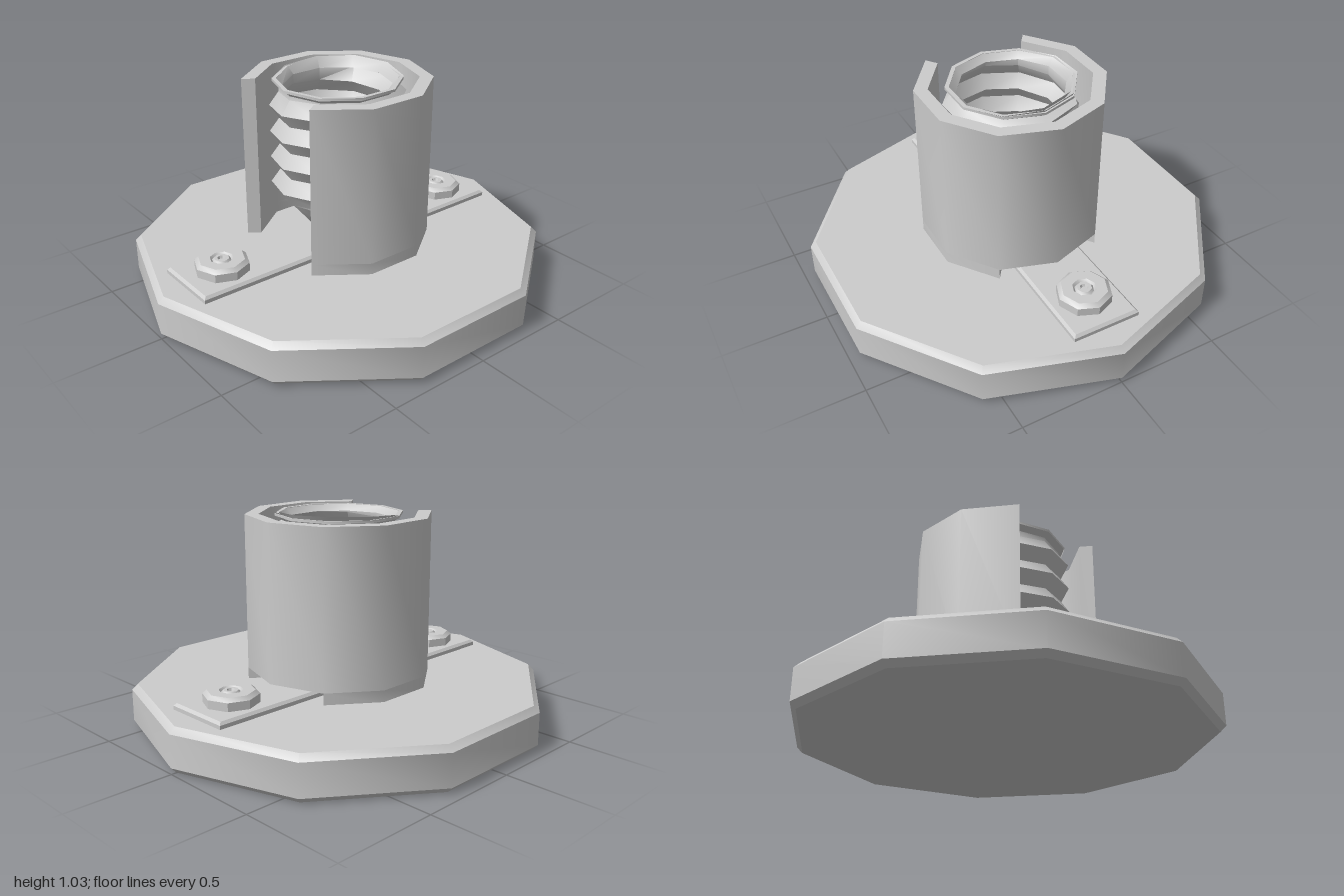
import * as THREE from 'three';
import { toCreasedNormals } from 'three/addons/utils/BufferGeometryUtils.js';

const CREASE = 0.7;
const grey = new THREE.MeshStandardMaterial({ color: 0xcccccc });
const greyDouble = new THREE.MeshStandardMaterial({ color: 0xcccccc, side: THREE.DoubleSide });

function part(name, geometry, material = grey) {
  const mesh = new THREE.Mesh(toCreasedNormals(geometry, CREASE), material);
  mesh.name = name;
  return mesh;
}

// Faceted turned part whose first corner lies on +x
function turned(profile, sides) {
  const points = profile.map(([r, y]) => new THREE.Vector2(r, y));
  return new THREE.LatheGeometry(points, sides, Math.PI / 2);
}

// Upright extrusion of a decagonal ring sector, from corner a to corner b
function ringWall(a, b, y0, y1) {
  const points = [];
  const add = (r, i) => points.push(new THREE.Vector2(
    r * Math.cos(i * Math.PI / 5), r * Math.sin(i * Math.PI / 5)));
  for (let i = a; i <= b; i++) add(0.445, i);
  for (let i = b; i >= a; i--) add(0.38, i);
  const g = new THREE.ExtrudeGeometry(new THREE.Shape(points), { depth: y1 - y0, bevelEnabled: false });
  return g.rotateX(-Math.PI / 2).translate(0, y0, 0);
}

// Screw shell: rows of [radius, height], thread rows climbing with the angle
function screwShell(inset, sides = 10) {
  const pitch = 0.13, low = 0.44, high = 0.98;
  const rows = [() => [0.065, 0.27 + inset], () => [0.16, 0.31 + inset], () => [0.27 - inset, low]];
  for (let k = -2; k <= 9; k++) {
    const r = (k % 2 === 0 ? 0.32 : 0.275) - inset;
    rows.push(t => {
      const y = low + pitch * (k / 2 + t);
      return [y < low || y > high ? 0.275 - inset : r, THREE.MathUtils.clamp(y, low, high)];
    });
  }
  // slightly uneven rim where the thread runs out
  rows.push(t => [0.305 - inset, 1.01 + 0.018 * Math.max(0, Math.cos((t - 0.1) * 2 * Math.PI))]);

  const pos = [], index = [];
  rows.forEach((row, j) => {
    for (let i = 0; i <= sides; i++) {
      const t = i / sides, [r, y] = row(t), a = t * 2 * Math.PI;
      pos.push(r * Math.cos(a), y, -r * Math.sin(a));
      if (j > 0 && i < sides) {
        const p = (j - 1) * (sides + 1) + i, q = p + sides + 1;
        index.push(p, p + 1, q, p + 1, q + 1, q);
      }
    }
  });
  const g = new THREE.BufferGeometry();
  g.setAttribute('position', new THREE.Float32BufferAttribute(pos, 3));
  g.setIndex(index);
  return g;
}

export function createModel() {
  const model = new THREE.Group();

  // Ten-sided base plate with chamfered edges
  model.add(part('base', turned([
    [0, 0], [0.972, 0], [1, 0.028], [1, 0.182], [0.972, 0.21], [0, 0.21]], 10)));

  // Mounting strip
  const w = 0.85, d = 0.155;
  const rect = new THREE.Shape([[-w, -d], [w, -d], [w, d], [-w, d]].map(p => new THREE.Vector2(...p)));
  const strip = new THREE.ExtrudeGeometry(rect, {
    depth: 0.02, bevelThickness: 0.012, bevelSize: 0.012, bevelSegments: 1 });
  model.add(part('mountingStrip', strip.rotateX(-Math.PI / 2).translate(0, 0.208, 0)));

  // Bolts at both ends of the strip
  for (const side of [1, -1]) {
    const bolt = part(side > 0 ? 'leftBolt' : 'rightBolt', turned([
      [0.128, 0.235], [0.128, 0.28], [0.108, 0.297], [0.055, 0.297], [0.045, 0.285],
      [0.035, 0.297], [0.02, 0.297], [0.015, 0.285], [0, 0.285]], 8));
    bolt.position.x = 0.67 * side;
    model.add(bolt);
  }

  // Open-sided housing, notched over the strip
  const housing = new THREE.Group();
  housing.name = 'housing';
  housing.add(part('housingWall', ringWall(-4, 4, 0.265, 1.01)));
  housing.add(part('housingFrontFoot', ringWall(-4, -1, 0.2, 0.265)));
  housing.add(part('housingBackFoot', ringWall(1, 4, 0.2, 0.265)));
  model.add(housing);

  // Threaded socket: outer skin, inner skin, rim and centre contact
  const socket = new THREE.Group();
  socket.name = 'threadedSocket';
  socket.add(part('socketOuter', screwShell(0), greyDouble));
  socket.add(part('socketInner', screwShell(0.02), greyDouble));
  socket.add(part('socketRim', turned([[0.305, 1.0], [0.305, 1.012], [0.285, 1.012], [0.285, 1.0]], 10), greyDouble));
  socket.add(part('centreContact', turned([[0.065, 0.235], [0.065, 0.295], [0, 0.295]], 16)));
  model.add(socket);

  return model;
}
